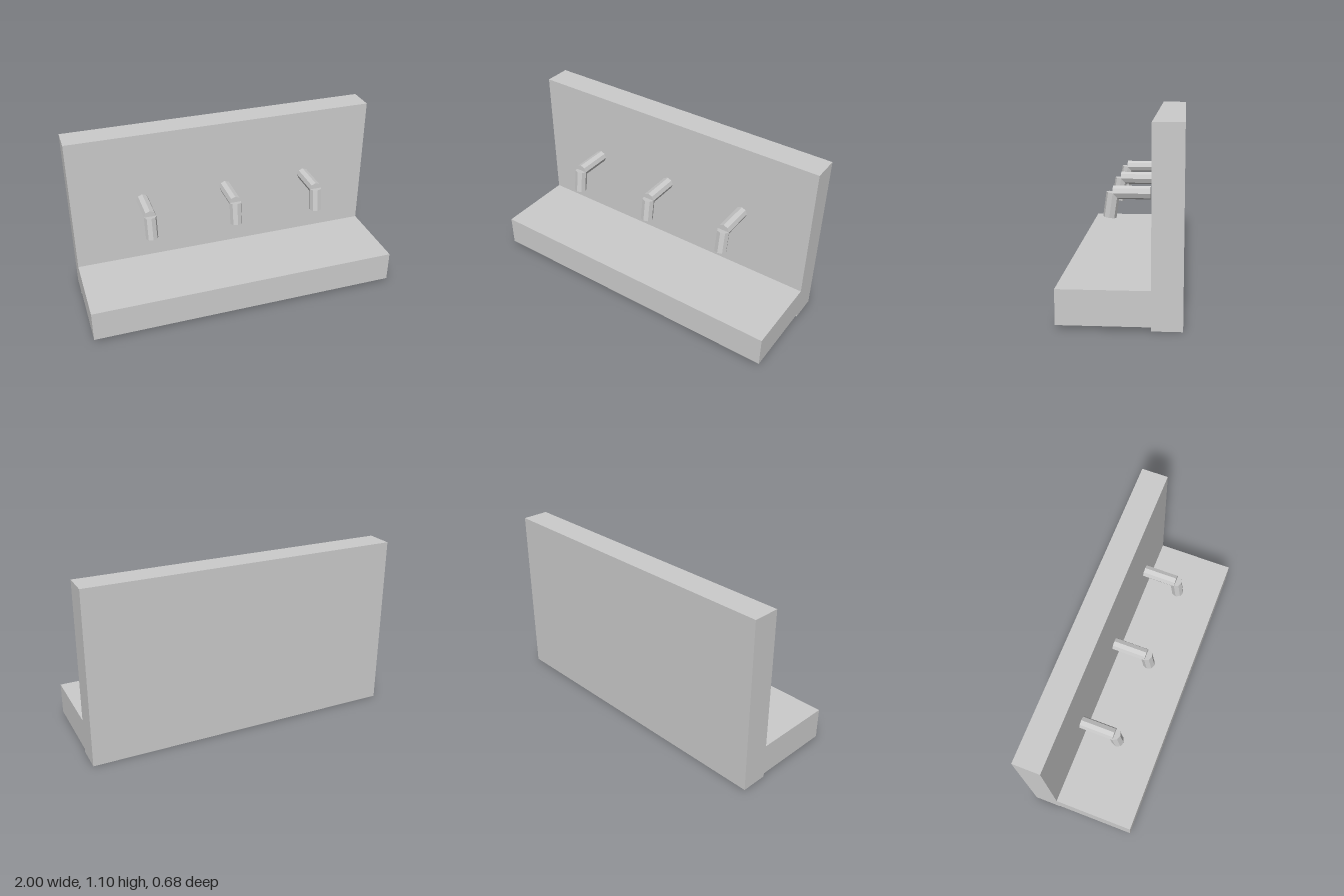
import * as THREE from 'three';

export function createModel() {
  const model = new THREE.Group();
  model.name = 'spoutWall';
  const stone = new THREE.MeshStandardMaterial({ name: 'lightGrey', color: 0xcccccc });
  stone.flatShading = true;

  // Back wall and ledge: one L-shaped section in (z, y), run along x
  const section = new THREE.Shape([
    [-0.34, 0], [-0.17, 0], [-0.17, 0.022], [0.34, 0.022],
    [0.34, 0.22], [-0.17, 0.22], [-0.17, 1.1], [-0.34, 1.1],
  ].map(([z, y]) => new THREE.Vector2(z, y)));
  const wallGeometry = new THREE.ExtrudeGeometry(section, { depth: 2, bevelEnabled: false });
  wallGeometry.translate(0, 0, -1).rotateY(-Math.PI / 2);
  const wall = new THREE.Mesh(wallGeometry, stone);
  wall.name = 'wallAndLedge';
  model.add(wall);

  // Eight-sided pipe between two points in the (y, z) plane
  function pipe(name, y0, z0, y1, z1) {
    const start = new THREE.Vector3(0, y0, z0);
    const end = new THREE.Vector3(0, y1, z1);
    const axis = end.clone().sub(start);
    const mesh = new THREE.Mesh(new THREE.CylinderGeometry(0.039, 0.039, axis.length(), 8), stone);
    mesh.name = name;
    mesh.position.copy(start).add(end).multiplyScalar(0.5);
    mesh.rotation.x = Math.atan2(axis.z, axis.y);
    return mesh;
  }

  // Three bent spouts, standing just clear of the wall
  for (const x of [-0.55, 0, 0.55]) {
    const spout = new THREE.Group();
    spout.name = 'spout';
    spout.position.x = x;
    spout.add(pipe('spoutArm', 0.662, -0.146, 0.662, 0.07));
    spout.add(pipe('spoutNozzle', 0.519, 0.089, 0.662, 0.069));
    model.add(spout);
  }
  return model;
}
